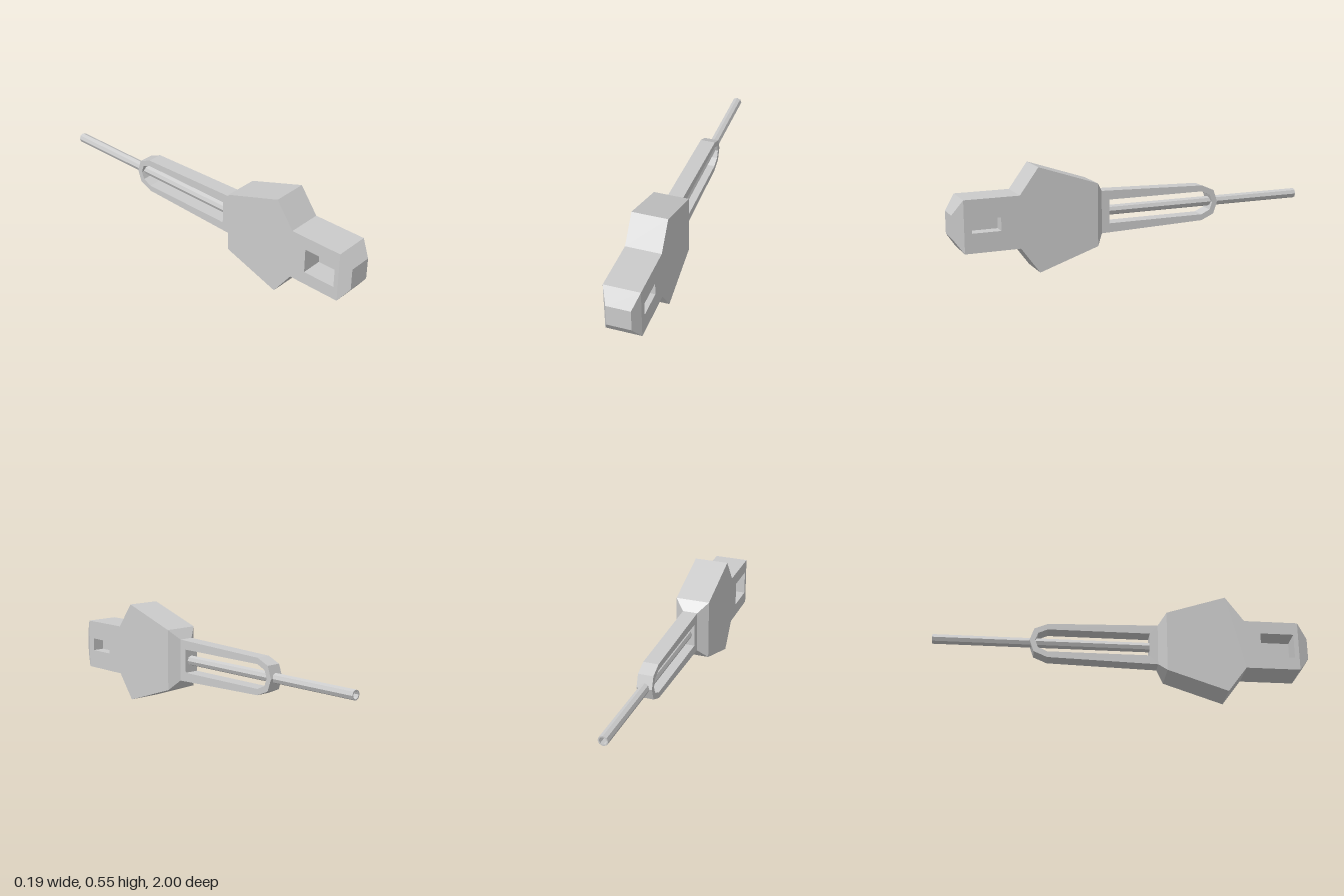
import * as THREE from 'three';

const MID = 0.274; // height of the long axis; everything mirrors about it
const mat = new THREE.MeshStandardMaterial({ color: 0xcccccc, flatShading: true });

function add(group, name, geometry) {
  const mesh = new THREE.Mesh(geometry, mat);
  mesh.name = name;
  group.add(mesh);
}

// Closed outline from upper-half [z, height above axis] points, mirrored below
function outline(half) {
  const lower = half.filter(p => p[1] > 0).reverse().map(([z, h]) => [z, -h]);
  return [...half, ...lower].map(([z, h]) => new THREE.Vector2(-z, MID + h));
}

// Side profile with a hole, extruded across x from x0 to x1
function plate(half, holeHalf, x0, x1) {
  const shape = new THREE.Shape(outline(half));
  shape.holes.push(new THREE.Path(outline(holeHalf).reverse())); // wound against the outline
  return new THREE.ExtrudeGeometry(shape, { depth: x1 - x0, bevelEnabled: false })
    .translate(0, 0, x0)
    .rotateY(Math.PI / 2);
}

// Box whose two z ends have different half sizes [z, halfX, halfY]
function frustum(back, front) {
  const g = new THREE.BoxGeometry(2, 2, 2);
  const p = g.attributes.position;
  for (let i = 0; i < p.count; i++) {
    const [z, hx, hy] = p.getZ(i) > 0 ? front : back;
    p.setXYZ(i, p.getX(i) * hx, MID + p.getY(i) * hy, z);
  }
  g.computeVertexNormals();
  return g;
}

export function createModel() {
  const group = new THREE.Group();

  // Wide body; its pocket is large on the right side and small on the left
  const largePocket = [[0.92, 0.067], [0.74, 0.067]];
  const smallPocket = [[0.905, 0.035], [0.755, 0.035]];
  add(group, 'body', plate(
    [[0.945, 0.137], [0.655, 0.137], [0.555, 0.274], [0.235, 0.167]],
    largePocket, -0.094, 0.094));
  add(group, 'pocketFrame', plate(largePocket, smallPocket, 0.028, 0.094));
  add(group, 'pocketPanel', new THREE.BoxGeometry(0.004, 0.134, 0.18).translate(0.026, MID, 0.83));

  // Tapered ends of the body
  add(group, 'frontTaper', frustum([0.945, 0.094, 0.137], [1, 0.063, 0.059]));
  add(group, 'rearTaper', frustum([0.193, 0.041, 0.114], [0.235, 0.094, 0.167]));

  // Slotted loop behind the body
  add(group, 'slottedArm', plate(
    [[0.193, 0.114], [-0.395, 0.097], [-0.467, 0.066], [-0.49, 0]],
    [[0.15, 0.064], [-0.395, 0.064], [-0.445, 0.041], [-0.46, 0]],
    -0.041, 0.041));

  // Hollow eight-sided rod running out through the loop
  const wall = [[0.027, 0.15], [0.02, 0.15], [0.02, -1], [0.027, -1], [0.027, 0.15]]
    .map(([r, z]) => new THREE.Vector2(r, z));
  add(group, 'rod', new THREE.LatheGeometry(wall, 8).rotateX(Math.PI / 2).translate(0, MID, 0));

  return group;
}
